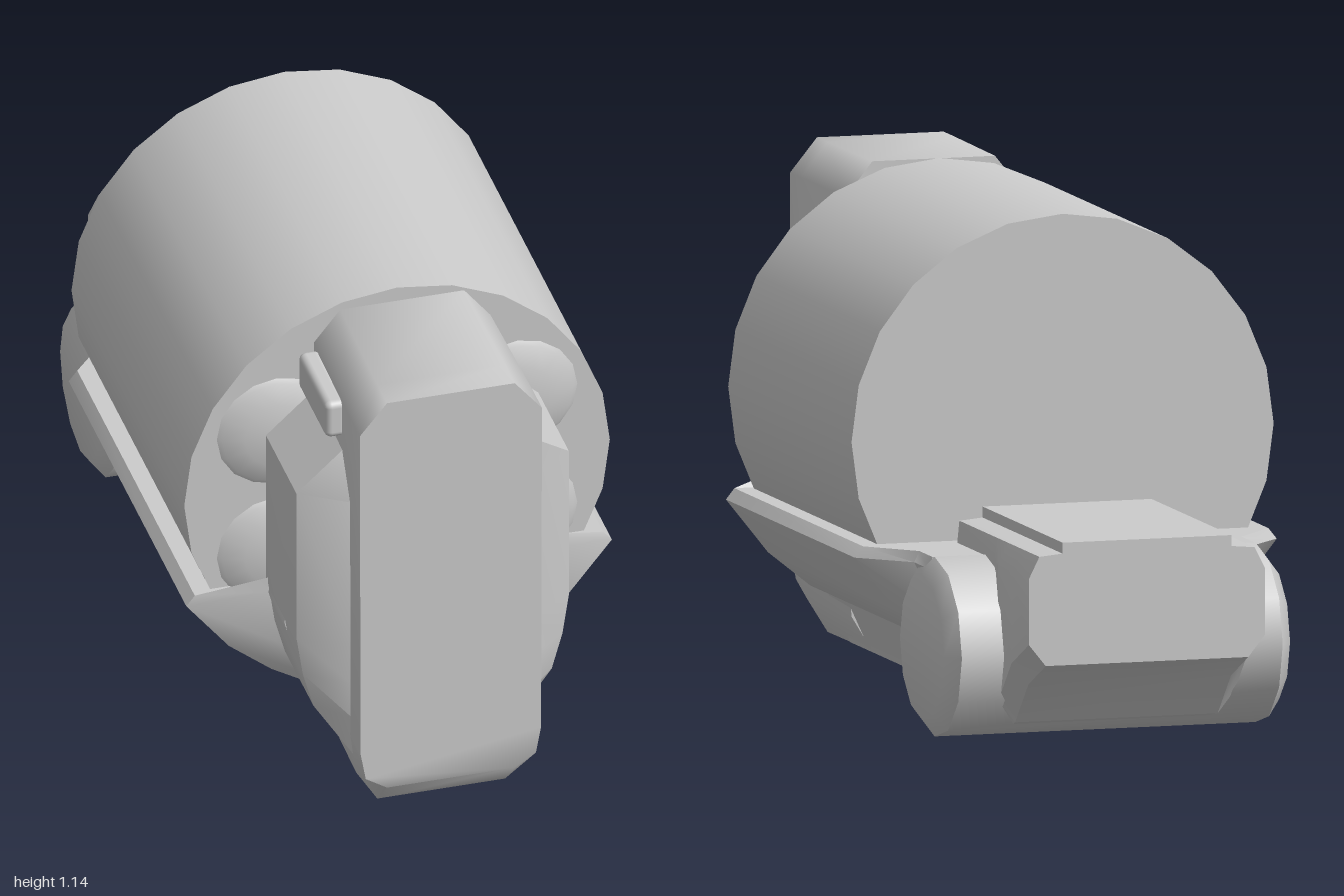
import * as THREE from 'three';
import { toCreasedNormals } from 'three/addons/utils/BufferGeometryUtils.js';
import { RoundedBoxGeometry } from 'three/addons/geometries/RoundedBoxGeometry.js';

const grey = new THREE.MeshStandardMaterial({ color: 0xcccccc });

// Skin a row of mirrored sections, listed from back to front.
// Each section is [z, right half outline from bottom to top].
function loft(sections, crease = 0.7) {
  const rings = sections.map(([z, half]) => {
    const left = half.map(([x, y]) => [-x, y]).reverse();
    return [...half, ...left].map(([x, y]) => new THREE.Vector3(x, y, z));
  });
  const n = rings[0].length;
  const index = [];
  for (let i = 0; i < rings.length - 1; i++) {
    for (let j = 0; j < n; j++) {
      const a = i * n + j, b = i * n + (j + 1) % n;
      index.push(a, b, b + n, a, b + n, a + n);
    }
  }
  // End caps
  const cap = (ring, start, flip) => {
    const flat = ring.map((p) => new THREE.Vector2(p.x, p.y));
    for (const [a, b, c] of THREE.ShapeUtils.triangulateShape(flat, [])) {
      index.push(start + a, start + (flip ? c : b), start + (flip ? b : c));
    }
  };
  cap(rings[0], 0, true);
  cap(rings[rings.length - 1], (rings.length - 1) * n, false);
  const geo = new THREE.BufferGeometry().setFromPoints(rings.flat());
  geo.setIndex(index);
  return toCreasedNormals(geo, crease);
}

// Lathe with its axis on y, sharp at strong corners
function turned(profile, sides) {
  const points = profile.map(([r, y]) => new THREE.Vector2(r, y));
  return toCreasedNormals(new THREE.LatheGeometry(points, sides), 0.7);
}

export function createModel() {
  const model = new THREE.Group();
  const add = (name, geo, x = 0, y = 0, z = 0) => {
    const mesh = new THREE.Mesh(geo, grey);
    mesh.name = name;
    mesh.position.set(x, y, z);
    model.add(mesh);
    return mesh;
  };

  // Large drum lying along the model
  const drum = new THREE.CylinderGeometry(0.5, 0.5, 0.925, 24).rotateX(Math.PI / 2);
  add('drum', drum, 0, 0.645, 0.0955);

  // Shallow domes on the drum's front face
  const dome = turned([[0.145, 0], [0.13, 0.01], [0.08, 0.025], [0, 0.032]], 16).rotateX(Math.PI / 2);
  for (const side of [-1, 1]) {
    for (const y of [0.81, 0.49]) add('frontDome', dome, side * 0.283, y, 0.555);
  }

  // Cradle below the drum: keel, flared wings, necking in at both ends
  const cradle = [[0.15, 0.02], [0.21, 0.15], [0.3, 0.18], [0.4, 0.26], [0.5, 0.385], [0.48, 0.41]];
  const neck = cradle.map(([x, y]) => [x > 0.22 ? 0.22 + (x - 0.22) * 0.62 : x, y]);
  const throat = [[0.15, 0.02], [0.21, 0.15], [0.24, 0.19], [0.28, 0.27], [0.32, 0.42], [0.31, 0.46]];
  add('cradle', loft([[-0.6, neck], [-0.5, neck], [-0.39, cradle], [0.575, cradle], [0.62, throat], [0.75, throat]]));

  // Upright column at the front, with its lower front edge cut back
  const column = [[0.15, 0.02], [0.2, 0.1], [0.212, 0.2], [0.214, 1.06], [0.15, 1.138]];
  const columnBack = column.map(([x, y]) => [x * 0.97, y]);
  const columnFace = column.map(([x, y]) => [x, y < 0.15 ? 0.1 + (y - 0.02) * 0.4 : y]);
  add('column', loft([[0.6, columnBack], [0.92, column], [1, columnFace]], 0.95));

  // Collar on both flanks of the column
  const collar = [[0.2, 0.14], [0.28, 0.25], [0.305, 0.34], [0.32, 0.44], [0.32, 0.83], [0.21, 0.93]];
  const collarFront = collar.map(([x, y]) => [Math.min(x, 0.21), y]);
  add('collar', loft([[0.6, collar], [0.85, collar], [0.92, collarFront]]));

  // Small handle on the column's right side
  add('sideHandle', new RoundedBoxGeometry(0.05, 0.095, 0.23, 3, 0.016), -0.226, 1.01, 0.735);

  // Cross drum at the rear with bevelled ends
  const axle = turned([[0, -0.41], [0.165, -0.41], [0.205, -0.38], [0.205, 0.38], [0.165, 0.41], [0, 0.41]], 12);
  add('crossDrum', axle.rotateZ(Math.PI / 2), 0, 0.207, -0.61);

  // Rear block with a rising underside
  const block = (w, bottom) => [[w - 0.04, bottom], [w, bottom + 0.05], [w, 0.41], [0.255, 0.46], [0.2, 0.465]];
  add('rearBlock', loft([
    [-1, block(0.28, 0.21)], [-0.87, block(0.28, 0.15)], [-0.77, block(0.28, 0.05)],
    [-0.68, block(0.26, 0.03)], [-0.4, block(0.26, 0.05)],
  ], 0.5));

  // Flat plate on top of the rear block
  add('topPlate', new THREE.BoxGeometry(0.4, 0.05, 0.6), 0, 0.465, -0.7);

  return model;
}
